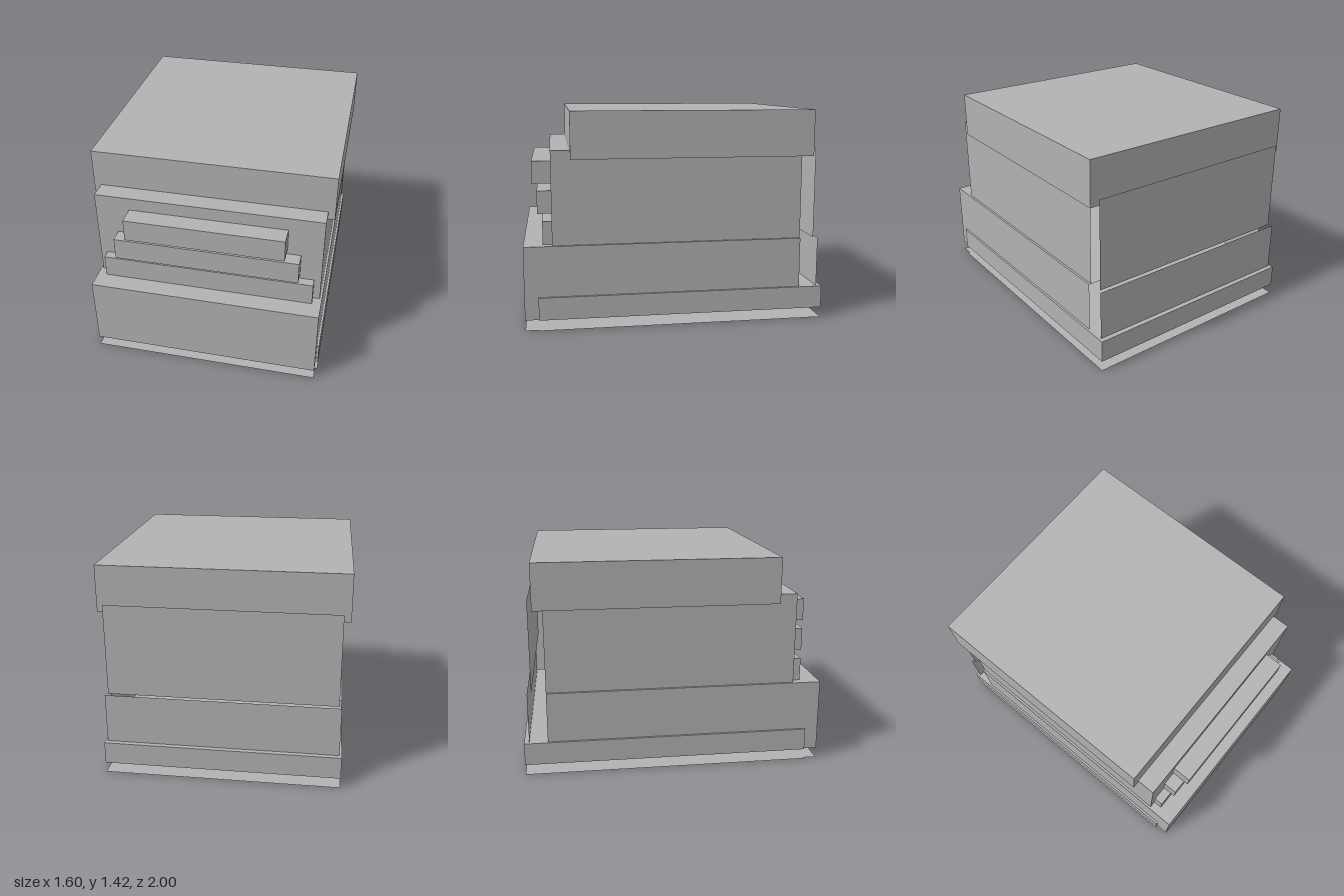
import * as THREE from 'three';

export function createModel() {
  const model = new THREE.Group();
  const grey = new THREE.MeshStandardMaterial({ color: 0xb2b2b2, side: THREE.DoubleSide });
  grey.name = 'plain grey';

  const add = (name, geometry, x, y, z) => {
    const mesh = new THREE.Mesh(geometry, grey);
    mesh.name = name;
    mesh.position.set(x, y, z);
    model.add(mesh);
  };

  // Block centred on x, given by half width and y and z limits; it may be open at the back
  const block = (name, halfWidth, y0, y1, z0, z1, openBack = false) => {
    const geometry = new THREE.BoxGeometry(halfWidth * 2, y1 - y0, z1 - z0);
    if (openBack) {
      geometry.setIndex(Array.from(geometry.index.array).slice(0, 30));
      geometry.clearGroups();
    }
    add(name, geometry, 0, (y0 + y1) / 2, (z0 + z1) / 2);
  };

  // Stacked main volumes
  block('plinth', 0.785, 0.07, 0.22, -1, 0.91);
  block('lowerStorey', 0.77, 0.07, 0.556, -0.845, 1, true);
  block('upperStorey', 0.755, 0.556, 1.17, -0.845, 0.815, true);
  block('roofSlab', 0.8, 1.115, 1.42, -0.91, 0.69);

  // Front ledges, narrower and deeper towards the top
  [[0.71, 0.556, 0.875], [0.615, 0.743, 0.908], [0.525, 0.93, 0.94]].forEach(([w, y, z], i) =>
    block(`frontLedge${i + 1}`, w, y, y + 0.152, 0.815, z));

  // Free-standing rear wall sheets, facing back
  const sheet = (name, halfWidth, y0, y1, z) =>
    add(name, new THREE.PlaneGeometry(halfWidth * 2, y1 - y0).rotateY(Math.PI), 0, (y0 + y1) / 2, z);
  sheet('upperRearWall', 0.755, 0.556, 1.17, -0.94);
  sheet('lowerRearWall', 0.77, 0.22, 0.556, -0.967);

  // Flat ground sheets below the body
  const ground = (name, halfWidth, z0, z1) =>
    add(name, new THREE.PlaneGeometry(halfWidth * 2, z1 - z0).rotateX(-Math.PI / 2), 0, 0, (z0 + z1) / 2);
  ground('groundSheet', 0.785, -1, 0.91);
  ground('frontGroundSheet', 0.77, 0.91, 1);

  return model;
}
